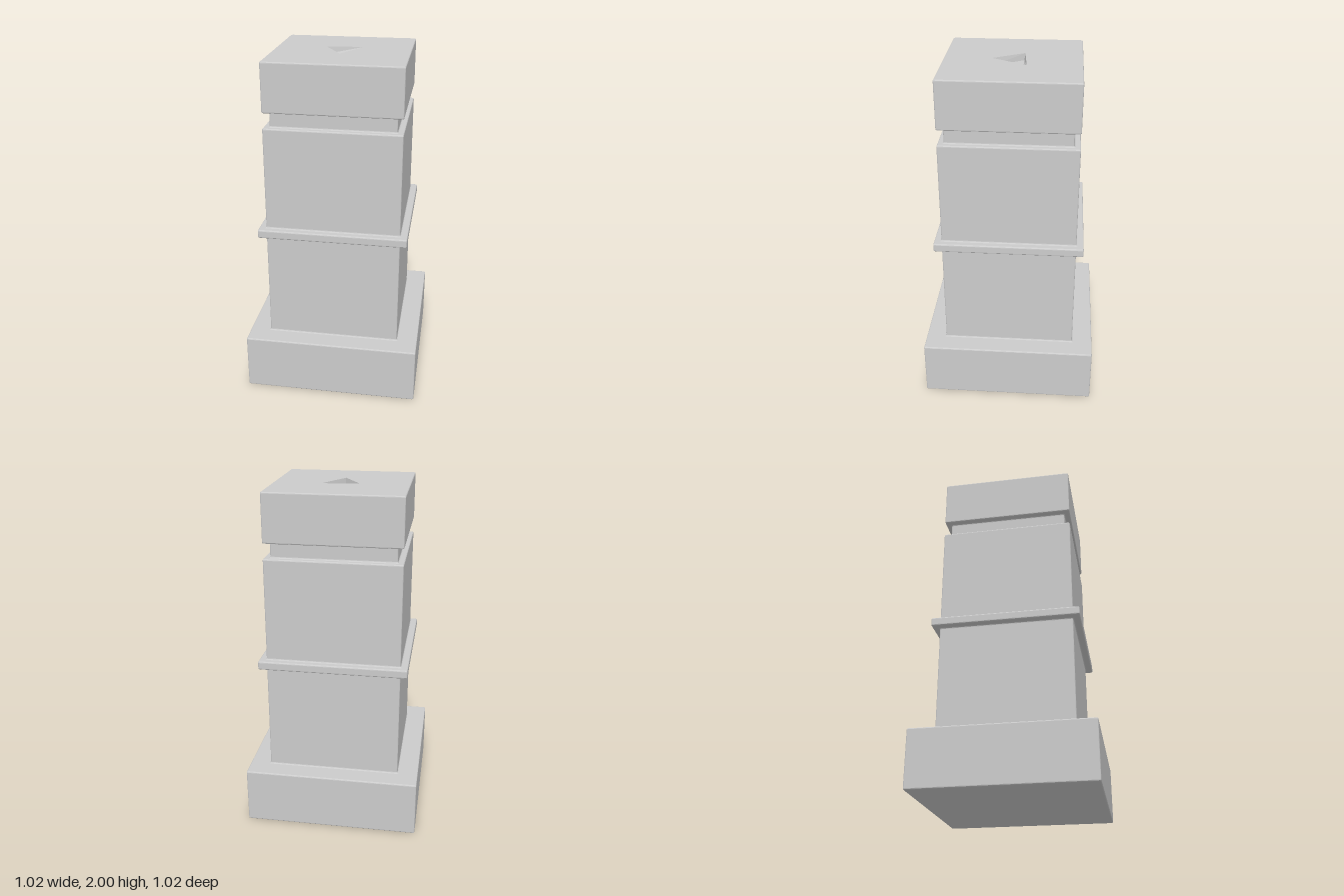
import * as THREE from 'three';

const material = new THREE.MeshStandardMaterial({ color: 0xcccccc });
const ROUND = 0.008;

// Replaces every inner corner of a [halfWidth, y] profile with a small arc (round or fillet).
function softened(profile, steps = 3) {
  const pts = profile.map(([x, y]) => new THREE.Vector2(x, y));
  const out = [pts[0]];
  for (let i = 1; i < pts.length - 1; i++) {
    const p = pts[i];
    const u = pts[i - 1].clone().sub(p).normalize();
    const v = pts[i + 1].clone().sub(p).normalize();
    const centre = p.clone().addScaledVector(u, ROUND).addScaledVector(v, ROUND);
    for (let k = 0; k <= steps; k++) {
      const a = (k / steps) * Math.PI / 2;
      out.push(centre.clone()
        .addScaledVector(v, -ROUND * Math.cos(a))
        .addScaledVector(u, -ROUND * Math.sin(a)));
    }
  }
  out.push(pts[pts.length - 1]);
  return out;
}

// Square cross-section with slightly rounded corners.
function squareRing(half, y) {
  const r = Math.min(ROUND, half), ring = [];
  for (let corner = 0; corner < 4; corner++) {
    const mid = Math.PI / 4 + corner * Math.PI / 2;
    const cx = Math.sign(Math.cos(mid)) * (half - r);
    const cz = Math.sign(Math.sin(mid)) * (half - r);
    for (let k = 0; k <= 3; k++) {
      const a = corner * Math.PI / 2 + k * Math.PI / 6;
      ring.push(new THREE.Vector3(cx + r * Math.cos(a), y, cz + r * Math.sin(a)));
    }
  }
  return ring;
}

// Skins consecutive rings with crisp faces.
function loft(rings) {
  const corners = [];
  for (let i = 0; i < rings.length - 1; i++) {
    const low = rings[i], high = rings[i + 1], n = low.length;
    for (let j = 0; j < n; j++) {
      const k = (j + 1) % n;
      corners.push(low[j], high[j], low[k], low[k], high[j], high[k]);
    }
  }
  const geometry = new THREE.BufferGeometry().setFromPoints(corners);
  geometry.computeVertexNormals();
  return geometry;
}

// Flat upward-facing plate from a ring, with an optional hole.
function plate(ring, hole) {
  const flat = (r) => r.map((p) => new THREE.Vector2(p.x, -p.z));
  const shape = new THREE.Shape(flat(ring));
  if (hole) shape.holes.push(new THREE.Path(flat(hole)));
  return new THREE.ShapeGeometry(shape).rotateX(-Math.PI / 2).translate(0, ring[0].y, 0);
}

export function createModel() {
  const model = new THREE.Group();
  model.name = 'pillar';
  const add = (name, geometry) => {
    const mesh = new THREE.Mesh(geometry, material);
    mesh.name = name;
    model.add(mesh);
  };

  // Half-width and height profiles, from the ground up
  const S = 0.39;
  const profiles = {
    base: [[0, 0], [0.512, 0], [0.512, 0.335], [S, 0.335], [S, 0.36]],
    lowerShaft: [[S, 0.36], [S, 0.955]],
    band: [[S, 0.955], [S, 0.98], [0.432, 0.98], [0.432, 1.03], [S, 1.03], [S, 1.055]],
    upperShaft: [[S, 1.055], [S, 1.6]],
    neck: [[S, 1.6], [S, 1.63], [0.355, 1.63], [0.355, 1.717], [S, 1.717], [S, 1.74]],
    cap: [[S, 1.74], [S, 2], [0.37, 2]],
  };
  for (const [name, profile] of Object.entries(profiles)) {
    add(name, loft(softened(profile).map((p) => squareRing(p.x, p.y))));
  }

  // Cap top with a sunken triangular pocket
  const triangle = (y, points) => points.map(([x, z]) => new THREE.Vector3(x, y, z));
  const rim = triangle(2, [[-0.105, -0.061], [0.112, -0.081], [0, 0.119]]);
  const floor = triangle(1.96, [[-0.098, -0.056], [0.089, -0.056], [0, 0.105]]);
  add('capTop', plate(squareRing(0.37, 2), rim));
  add('pocketWalls', loft([rim, floor]));
  add('pocketFloor', plate(floor));

  return model;
}
